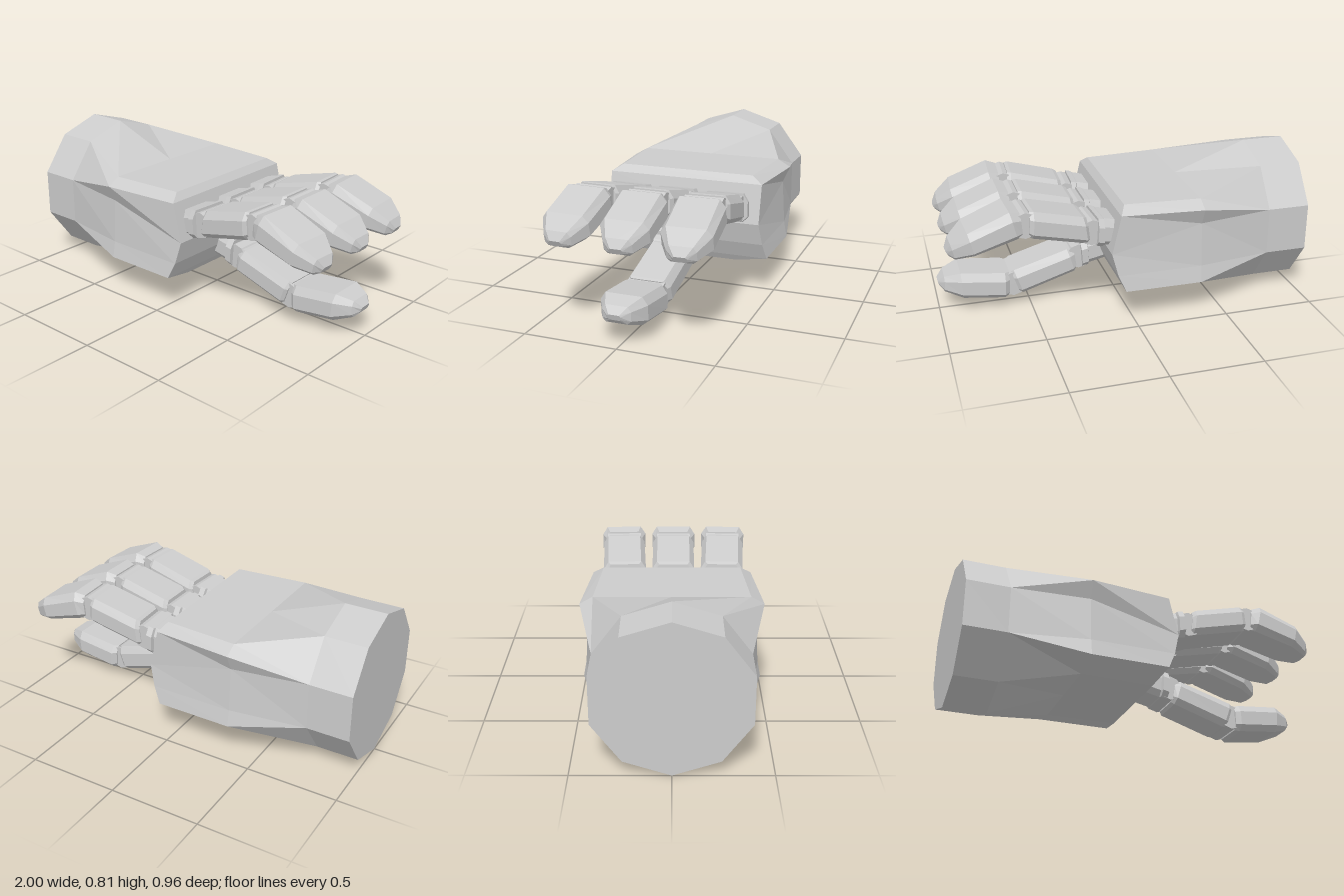
import * as THREE from 'three';

const grey = new THREE.MeshStandardMaterial({ color: 0xcccccc, flatShading: true });

// Skins mirrored cross-sections. Each section is half a loop of [x, y, z],
// from the top middle round the +z side to the bottom middle.
function loft(name, halves) {
  const rings = halves.map((half) => [
    ...half,
    ...half.slice(1, -1).reverse().map(([x, y, z]) => [x, y, -z]),
  ].map((p) => new THREE.Vector3(...p)));
  const n = rings[0].length;
  const pos = [];
  const tri = (a, b, c) => {
    const area = b.clone().sub(a).cross(c.clone().sub(a)).length();
    if (area > 1e-7) for (const p of [a, b, c]) pos.push(p.x, p.y, p.z);
  };
  for (let i = 0; i + 1 < rings.length; i++) {
    for (let j = 0; j < n; j++) {
      const k = (j + 1) % n;
      const [r, s] = [rings[i], rings[i + 1]];
      tri(r[j], r[k], s[k]);
      tri(r[j], s[k], s[j]);
    }
  }
  // Caps run in strips between mirrored points
  const first = rings[0], last = rings[rings.length - 1];
  for (let j = 0; j < n / 2; j++) {
    const a = j, b = j + 1, c = n - j - 1, d = (n - j) % n;
    tri(last[a], last[b], last[c]);
    tri(last[a], last[c], last[d]);
    tri(first[a], first[c], first[b]);
    tri(first[a], first[d], first[c]);
  }
  const geo = new THREE.BufferGeometry();
  geo.setAttribute('position', new THREE.Float32BufferAttribute(pos, 3));
  geo.computeVertexNormals();
  const mesh = new THREE.Mesh(geo, grey);
  mesh.name = name;
  return mesh;
}

// Chamfered box section between a bottom and a top point, w = half width
function section([bx, by, tx, ty, w]) {
  const at = (v, z) => [bx + (tx - bx) * v, by + (ty - by) * v, z];
  return [at(1, 0), at(1, w * 0.78), at(0.72, w), at(0.2, w), at(0, w * 0.75), at(0, 0)];
}

// A digit: chamfered segments joined by hinge pins
function digit(name, segments, pins) {
  const group = new THREE.Group();
  group.name = name;
  for (const [part, rows] of Object.entries(segments)) group.add(loft(part, rows.map(section)));
  for (const [x, y, r] of pins) {
    const pin = new THREE.Mesh(new THREE.CylinderGeometry(r, r, 0.2, 10), grey);
    pin.name = 'hinge';
    pin.rotation.x = Math.PI / 2;
    pin.position.set(x, y, 0);
    group.add(pin);
  }
  return group;
}

// Rows: bottom x, bottom y, top x, top y, half width
const fingerSegments = {
  knuckle: [
    [0.06, 0.42, 0.06, 0.56, 0.105], [0.16, 0.43, 0.155, 0.583, 0.105],
    [0.165, 0.43, 0.16, 0.585, 0.125], [0.2, 0.438, 0.19, 0.592, 0.125],
  ],
  middleSegment: [
    [0.235, 0.46, 0.25, 0.6, 0.105], [0.25, 0.458, 0.27, 0.61, 0.122],
    [0.54, 0.528, 0.53, 0.675, 0.122], [0.56, 0.54, 0.55, 0.675, 0.11],
  ],
  fingertip: [
    [0.59, 0.545, 0.6, 0.675, 0.11], [0.62, 0.538, 0.655, 0.69, 0.13],
    [0.84, 0.478, 0.87, 0.605, 0.128], [0.93, 0.456, 0.95, 0.54, 0.075],
    [0.955, 0.465, 0.972, 0.495, 0.035],
  ],
};
const thumbSegments = {
  knuckle: [
    [0.05, 0.225, 0.07, 0.37, 0.105], [0.165, 0.2, 0.175, 0.35, 0.105],
    [0.17, 0.197, 0.18, 0.35, 0.125], [0.205, 0.188, 0.215, 0.342, 0.125],
  ],
  middleSegment: [
    [0.235, 0.18, 0.255, 0.305, 0.105], [0.25, 0.165, 0.29, 0.303, 0.122],
    [0.54, 0.073, 0.59, 0.215, 0.122], [0.56, 0.075, 0.605, 0.208, 0.11],
  ],
  thumbTip: [
    [0.62, 0.065, 0.615, 0.205, 0.11], [0.645, 0.058, 0.64, 0.208, 0.13],
    [0.87, 0.085, 0.88, 0.235, 0.125], [0.965, 0.12, 0.965, 0.21, 0.075],
    [0.99, 0.145, 1.0, 0.175, 0.035],
  ],
};

export function createModel() {
  const hand = new THREE.Group();
  hand.name = 'hand';

  // Ten-sided forearm, two section points doubled to meet the wrist
  const arm = [[0.815, 0], [0.74, 0.24], [0.54, 0.39], [0.54, 0.39], [0.285, 0.39], [0.285, 0.39], [0.08, 0.24], [0, 0]];
  const armAt = (x) => arm.map(([y, z]) => [x, y, z]);
  const wrist = [[0.66, 0], [0.66, 0.41], [0.62, 0.48], [0.53, 0.44], [0.29, 0.455], [0.2, 0.472], [0.165, 0.3], [0.165, 0]]
    .map(([y, z]) => [-0.36, y, z]);
  // Palm ends in a bowed face
  const palmEnd = [
    [0.05, 0.66, 0], [0.05, 0.66, 0.38], [0.08, 0.62, 0.44], [0.13, 0.41, 0.44],
    [0.1, 0.29, 0.455], [0.06, 0.2, 0.47], [0.04, 0.165, 0.29], [0.04, 0.165, 0],
  ];
  hand.add(loft('forearmAndPalm', [armAt(-1), armAt(-0.77), wrist, palmEnd]));

  // Three splayed fingers above
  const pins = [[0.222, 0.517, 0.07], [0.575, 0.605, 0.07]];
  [['leftFinger', 1], ['middleFinger', 0], ['rightFinger', -1]].forEach(([name, side]) => {
    const finger = digit(name, fingerSegments, pins);
    finger.position.z = 0.007 + side * 0.267;
    finger.rotation.y = -side * 0.055;
    hand.add(finger);
  });

  // Thumb below
  const thumb = digit('thumb', thumbSegments, [[0.225, 0.255, 0.07], [0.595, 0.135, 0.07]]);
  thumb.position.z = 0.01;
  hand.add(thumb);

  return hand;
}
